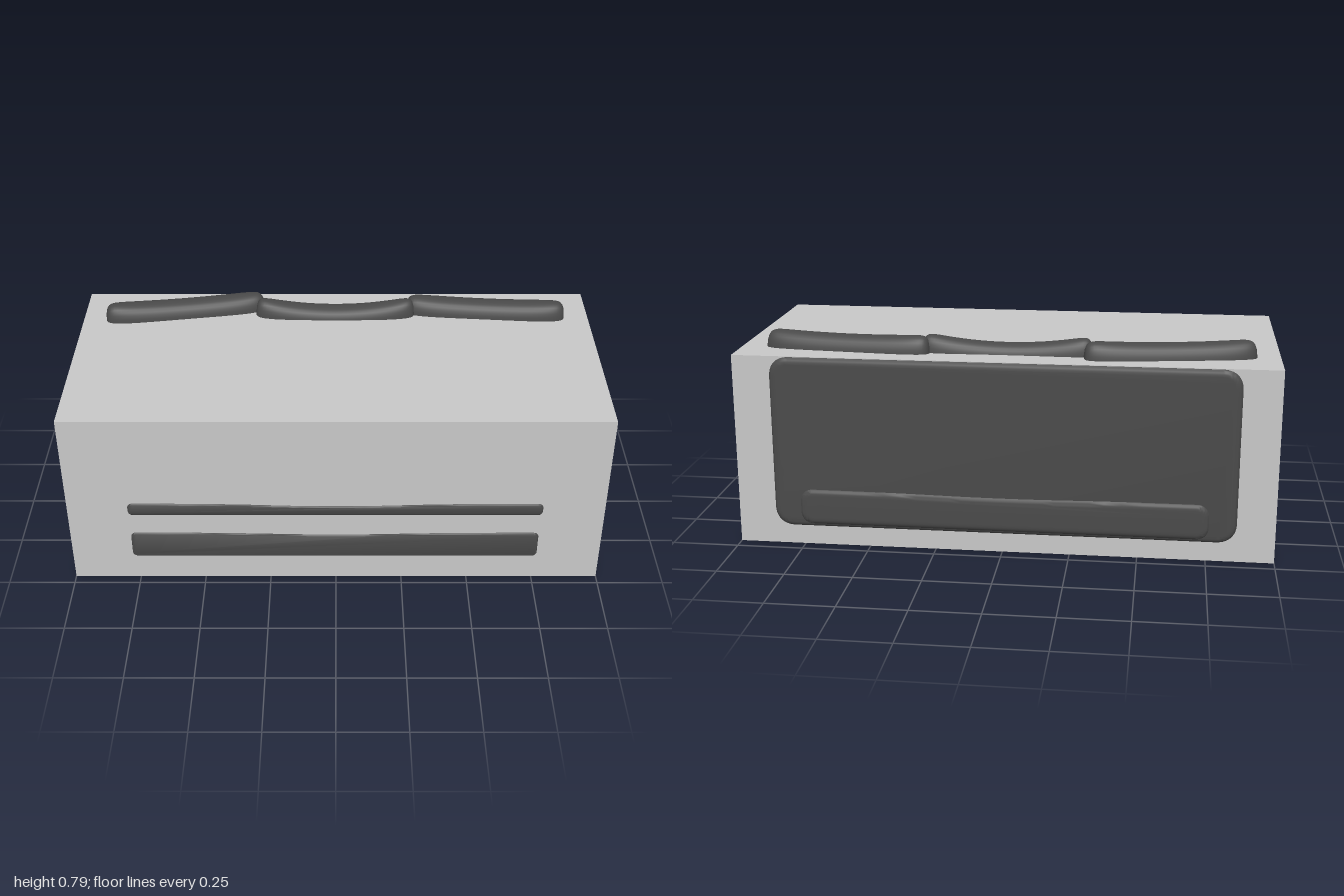
import * as THREE from 'three';
import { toCreasedNormals } from 'three/addons/utils/BufferGeometryUtils.js';

const casing = new THREE.MeshStandardMaterial({ color: 0xc8c8c8 });
casing.name = 'light grey casing';
const fabric = new THREE.MeshStandardMaterial({ color: 0x4a4a4a });
fabric.name = 'charcoal fabric';

// Soft pillow top running from (x0,z0) to (x1,z1): domed sections swept along its length
function pillow(name, x0, z0, x1, z1, half, mid, end, bow = 0) {
  const N = 40, M = 16, base = 0.7, pos = [], idx = [];
  const len = Math.hypot(x1 - x0, z1 - z0), dx = (x1 - x0) / len, dz = (z1 - z0) / len;
  for (let i = 0; i <= N; i++) {
    const s = -Math.cos(Math.PI * i / N);
    const full = Math.pow(Math.max(0, 1 - Math.abs(s) ** 5), 1 / 4);
    const h = (mid + (end - mid) * s * s - base) * Math.max(0, 1 - Math.abs(s) ** 24) ** 0.3;
    const cx = (x0 + x1) / 2 + s * (x1 - x0) / 2;
    const cz = (z0 + z1) / 2 + s * (z1 - z0) / 2 + bow * s * s;
    for (let j = 0; j <= M; j++) {
      const t = Math.PI * j / M, c = Math.cos(t);
      const w = half * full * Math.sign(c) * Math.abs(c) ** 0.8;
      pos.push(cx - dz * w, base + h * Math.sin(t) ** 0.75, cz + dx * w);
      if (i < N && j < M) {
        const a = i * (M + 1) + j, b = a + M + 1;
        idx.push(a, b, b + 1, a, b + 1, a + 1);
      }
    }
  }
  const g = new THREE.BufferGeometry();
  g.setAttribute('position', new THREE.Float32BufferAttribute(pos, 3));
  g.setIndex(idx);
  g.computeVertexNormals();
  const m = new THREE.Mesh(g, fabric);
  m.name = name;
  return m;
}

// Softly rounded padding bulging along +z; "sag" lowers the middle of its top edge
function padding(name, x0, x1, y0, y1, r, sag, thick, bevel) {
  const s = new THREE.Shape(), b = bevel, xm = (x0 + x1) / 2;
  const l = x0 + b, rt = x1 - b, lo = y0 + b, hi = y1 - b;
  s.moveTo(l + r, lo);
  s.lineTo(rt - r, lo);
  s.quadraticCurveTo(rt, lo, rt, lo + r);
  s.lineTo(rt, hi - r);
  s.quadraticCurveTo(rt, hi, rt - r, hi);
  s.bezierCurveTo(xm + 0.25, hi, xm + 0.25, hi - sag, xm, hi - sag);
  s.bezierCurveTo(xm - 0.25, hi - sag, xm - 0.25, hi, l + r, hi);
  s.quadraticCurveTo(l, hi, l, hi - r);
  s.lineTo(l, lo + r);
  s.quadraticCurveTo(l, lo, l + r, lo);
  const g = new THREE.ExtrudeGeometry(s, {
    depth: 0.01, bevelThickness: thick, bevelSize: b, bevelSegments: 5, curveSegments: 12
  });
  g.translate(0, 0, -0.01 - thick); // outermost face at z = 0
  const m = new THREE.Mesh(toCreasedNormals(g, 1), fabric);
  m.name = name;
  return m;
}

export function createModel() {
  const model = new THREE.Group();
  model.name = 'boxedSofa';

  // Main block
  const block = new THREE.Mesh(new THREE.BoxGeometry(2, 0.727, 0.91), casing);
  block.name = 'casing';
  block.position.set(0, 0.3635, 0.008);
  model.add(block);

  // Back pillows showing above the block
  model.add(
    pillow('rightBackPillow', -0.912, -0.25, -0.288, -0.35, 0.056, 0.782, 0.792),
    pillow('middleBackPillow', -0.318, -0.286, 0.312, -0.286, 0.052, 0.763, 0.798, -0.01),
    pillow('leftBackPillow', 0.28, -0.324, 0.907, -0.272, 0.056, 0.782, 0.792)
  );

  // Seat cushion and lower rail on the front
  const front = new THREE.Group();
  front.name = 'frontPadding';
  front.position.z = 0.4675;
  front.add(
    padding('seatCushionEdge', -0.775, 0.77, 0.303, 0.357, 0.015, 0.012, 0.006, 0.006),
    padding('lowerRail', -0.772, 0.763, 0.105, 0.218, 0.015, 0.009, 0.006, 0.006)
  );
  model.add(front);

  // Backrest panel with its lower roll, facing backwards
  const back = new THREE.Group();
  back.name = 'backPadding';
  back.rotation.y = Math.PI;
  back.position.z = -0.46;
  const roll = padding('lowerBackRoll', -0.76, 0.76, 0.085, 0.222, 0.025, 0.006, 0.012, 0.025);
  roll.position.z = 0.008;
  back.add(padding('backrestPanel', -0.86, 0.86, 0.073, 0.725, 0.05, 0, 0.014, 0.025), roll);
  model.add(back);

  return model;
}
